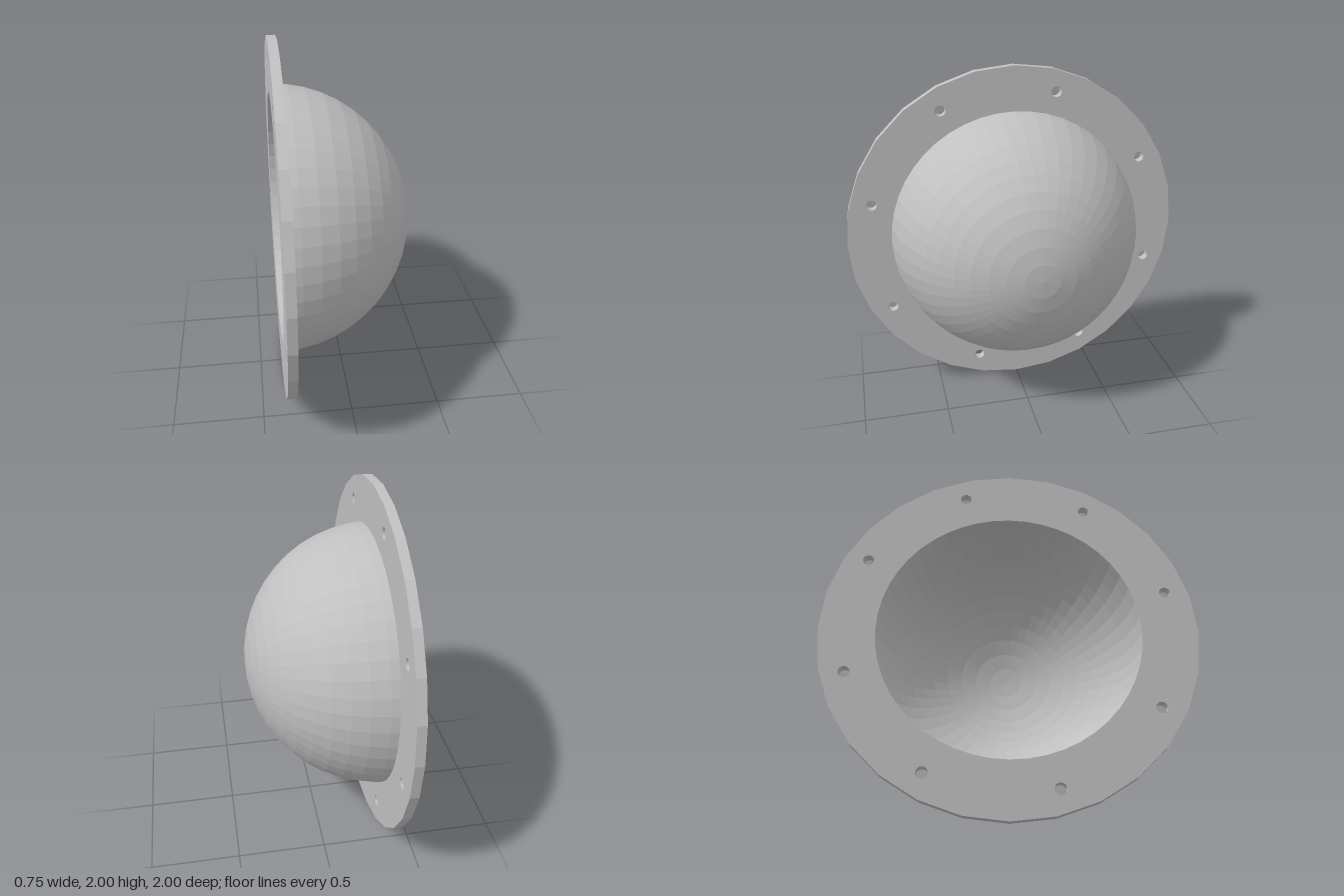
import * as THREE from 'three';

const BACK = -0.3725;      // x of the flange's back face
const THICK = 0.05;        // flange thickness
const OUTER = 0.747;       // dome outer radius
const INNER = 0.70;        // dome inner radius
const SIDES = 48;          // facets round the dome
const RINGS = 12;          // facet rings from rim to pole

// Regular polygon as a list of points
function ring(radius, sides, cx = 0, cy = 0) {
  return Array.from({ length: sides }, (_, i) => {
    const a = (i / sides) * Math.PI * 2;
    return new THREE.Vector2(cx + radius * Math.cos(a), cy + radius * Math.sin(a));
  });
}

export function createModel() {
  const group = new THREE.Group();
  const grey = new THREE.MeshStandardMaterial({ color: 0xc0c0c0 });
  grey.name = 'plain grey';
  grey.flatShading = true;

  // Flange: flat ring with eight bolt holes
  const plate = new THREE.Shape(ring(1, 28));
  const joint = 0.72;
  plate.holes.push(new THREE.Path(ring(joint, SIDES)));
  for (let i = 0; i < 8; i++) {
    const a = THREE.MathUtils.degToRad(28.75 + i * 45);
    plate.holes.push(new THREE.Path(ring(0.031, 16, 0.877 * Math.cos(a), 0.877 * Math.sin(a))));
  }
  const flangeGeo = new THREE.ExtrudeGeometry(plate, { depth: THICK, bevelEnabled: false });
  flangeGeo.rotateY(Math.PI / 2);
  const flange = new THREE.Mesh(flangeGeo, grey);
  flange.name = 'flange';
  flange.position.set(BACK, 1, 0);
  group.add(flange);

  // Dome: hollow half sphere, its lower lip buried in the flange
  const profile = [new THREE.Vector2(INNER, 0), new THREE.Vector2(joint, 0), new THREE.Vector2(OUTER, 0.01)];
  const arc = (radius, i) => {
    const t = (i / RINGS) * Math.PI / 2;
    return new THREE.Vector2(i === RINGS ? 0 : radius * Math.cos(t), radius * Math.sin(t));
  };
  for (let i = 1; i <= RINGS; i++) profile.push(arc(OUTER - 0.002, i));
  for (let i = RINGS; i >= 0; i--) profile.push(arc(INNER, i));
  const domeGeo = new THREE.LatheGeometry(profile, SIDES);
  domeGeo.rotateY(Math.PI / 2);
  domeGeo.rotateZ(-Math.PI / 2);
  const dome = new THREE.Mesh(domeGeo, grey);
  dome.name = 'dome';
  dome.position.set(BACK, 1, 0);
  group.add(dome);

  return group;
}
